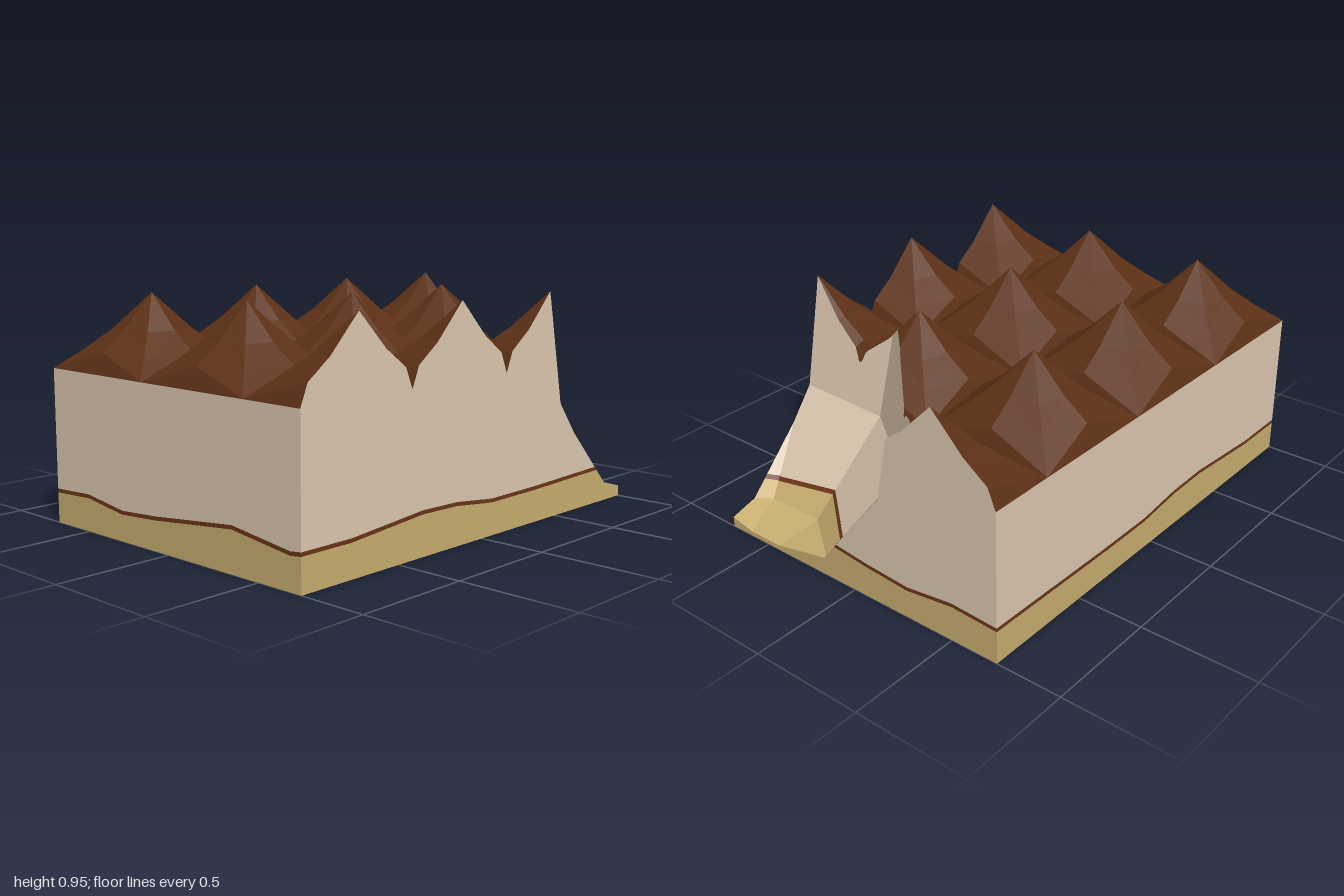
import * as THREE from 'three';

const S = 2 / 7;            // half a topping tile
const HX = 1, HZ = 2.5 * S; // half width and half depth of the slice
const V = (x, y, z) => new THREE.Vector3(x, y, z);

// One eighth of a topping peak: tip, two rings, then the tile border
const tip = V(0, 0.952, 0);
const a1 = V(S / 2, 0.807, 0), d1 = V(0.113, 0.807, 0.113);
const a2 = V(0.25, 0.73, 0), d2 = V(0.19, 0.73, 0.19);
const e = V(S, 0.645, 0), c = V(S, 0.645, S);
const octant = [[tip, a1, d1], [a1, a2, d2], [a1, d2, d1], [a2, e, c], [a2, c, d2]];

// Planes stored as y = p.x * x + p.y + p.z * z
function plane(a, b, q) {
  const n = b.clone().sub(a).cross(q.clone().sub(a));
  return V(-n.x / n.y, n.dot(a) / n.y, -n.z / n.y);
}
const planeY = (p, x, z) => p.x * x + p.y + p.z * z;
const octantPlanes = octant.map((t) => plane(...t));

// Height of the topping at any point
function topY(x, z) {
  const fold = (t) => Math.abs((((t % (2 * S)) + 2 * S) % (2 * S)) - S);
  const fx = fold(x + HX), fz = fold(z + HZ);
  const u = Math.max(fx, fz), v = Math.min(fx, fz);
  const side = (p, q) => (q.x - p.x) * (v - p.z) - (q.z - p.z) * (u - p.x);
  const i = octant.findIndex(([p, q, r]) =>
    Math.min(side(p, q), side(q, r), side(r, p)) > -1e-7);
  return planeY(octantPlanes[Math.max(i, 0)], u, v);
}

// Faceted bowl scooped from the front corner
const A = V(0.53, 0.47, 0.29), B = V(0.8, 0.47, -0.08), C = V(1, 0.47, -0.15);
const aTop = V(0.465, 0.8, 0.265);
const aLow = V(0.83, 0.08, 0.385), bLow = V(0.987, 0.08, 0.17), dLow = V(0.83, 0.08, 0.65);
const edgeLow = V(0.88, 0.08, HZ);
const scoop = [
  [A, aTop, V(0.46, 0.8, HZ)], [A, aTop, B], [B, C, V(1, 0.755, -0.21)],
  [A, aLow, dLow], [A, B, bLow], [B, C, bLow], [dLow, V(0.62, 0.35, HZ), edgeLow],
  [aLow, dLow, V(1, 0.02, 0.5)], [aLow, bLow, V(1, 0.02, 0.44)], [dLow, edgeLow, V(1, 0.02, 0.6)],
].map((t) => plane(...t));
const scoopY = (x, z) => Math.max(...scoop.map((p) => planeY(p, x, z)));

// Wavy boundary between the base and the cream
function along(points, t) {
  let i = 0;
  while (i < points.length - 2 && t > points[i + 1][0]) i++;
  const [[t0, y0], [t1, y1]] = [points[i], points[i + 1]];
  return y0 + (y1 - y0) * (t - t0) / (t1 - t0);
}
const waveX = [[-1, 0.153], [-0.75, 0.152], [-0.36, 0.182], [-0.16, 0.177],
  [0.06, 0.152], [0.35, 0.153], [0.8, 0.163], [1, 0.167]];
const waveZ = [[-0.72, 0.157], [-0.5, 0.167], [-0.28, 0.138], [-0.07, 0.152],
  [0.1, 0.17], [0.36, 0.197], [0.66, 0.16], [0.72, 0.167]];
const layerY = (p) => along(waveX, p.x) + along(waveZ, p.z) - 0.167;
const THICK = 0.016;

// Keep the part of a polygon where f >= 0
function clip(poly, f) {
  const out = [];
  poly.forEach((p, i) => {
    const q = poly[(i + 1) % poly.length], fp = f(p), fq = f(q);
    if (fp >= 0) out.push(p);
    if ((fp < 0) !== (fq < 0)) out.push(p.clone().lerp(q, fp / (fp - fq)));
  });
  return out;
}

// Split a triangle at its longest edge until it is small
function subdivide([p, q, r], size, emit) {
  const l = [p.distanceTo(q), q.distanceTo(r), r.distanceTo(p)];
  const m = Math.max(...l);
  if (m < size) return emit([p, q, r]);
  const k = l.indexOf(m);
  const [a, b, o] = [[p, q, r], [q, r, p], [r, p, q]][k];
  const mid = a.clone().lerp(b, 0.5);
  subdivide([a, mid, o], size, emit);
  subdivide([mid, b, o], size, emit);
}

// Add a polygon as a fan facing the given direction
function addPoly(list, poly, out) {
  for (let i = 1; i < poly.length - 1; i++) {
    const [p, q, r] = [poly[0], poly[i], poly[i + 1]];
    const n = q.clone().sub(p).cross(r.clone().sub(p));
    if (n.lengthSq() < 1e-16) continue;
    list.push(...(n.dot(out) > 0 ? [p, q, r] : [p, r, q]));
  }
}

export function createModel() {
  const group = new THREE.Group();
  const parts = { topping: [], creamLayer: [], thinLayer: [], base: [] };
  const UP = V(0, 1, 0);

  // Share a polygon among the three stacked layers
  const addLayered = (poly, out) => {
    addPoly(parts.base, clip(poly, (p) => layerY(p) - THICK - p.y), out);
    const upper = clip(poly, (p) => p.y - layerY(p) + THICK);
    addPoly(parts.thinLayer, clip(upper, (p) => layerY(p) - p.y), out);
    addPoly(parts.creamLayer, clip(upper, (p) => p.y - layerY(p)), out);
  };

  // Topping: a 4 x 3 grid of peaks trimmed by the slice and the scoop
  for (let i = 0; i < 4; i++) for (let j = 0; j < 3; j++) {
    const cx = -HX + S + i * 2 * S, cz = -HZ + S + j * 2 * S;
    for (let k = 0; k < 8; k++) for (const tri of octant) {
      const sx = k & 1 ? -1 : 1, sz = k & 2 ? -1 : 1;
      let poly = tri.map((p) => (k & 4
        ? V(cx + sx * p.z, p.y, cz + sz * p.x) : V(cx + sx * p.x, p.y, cz + sz * p.z)));
      poly = clip(clip(poly, (p) => HX + 1e-6 - p.x), (p) => HZ + 1e-6 - p.z);
      const nearScoop = poly.some((p) => p.x > 0.3 && p.z > -0.4);
      if (!nearScoop) addPoly(parts.topping, poly, UP);
      else for (let m = 1; m < poly.length - 1; m++) {
        subdivide([poly[0], poly[m], poly[m + 1]], 0.04, (t) =>
          addPoly(parts.topping, clip(t, (p) => scoopY(p.x, p.z) - p.y), UP));
      }
    }
  }

  // Scoop facets, each cut where it meets its neighbours and the topping
  scoop.forEach((pl, i) => {
    let poly = [V(0.3, 0, -0.4), V(0.3, 0, HZ), V(HX, 0, HZ), V(HX, 0, -0.4)];
    scoop.forEach((other, j) => {
      if (j !== i) poly = clip(poly, (p) => planeY(pl, p.x, p.z) - planeY(other, p.x, p.z));
    });
    poly.forEach((p) => { p.y = planeY(pl, p.x, p.z); });
    poly = clip(poly, (p) => 1 - p.y);
    for (let m = 1; m < poly.length - 1; m++) {
      subdivide([poly[0], poly[m], poly[m + 1]], 0.025, (t) =>
        addLayered(clip(t, (p) => topY(p.x, p.z) - p.y), UP));
    }
  });

  // Four side walls as narrow upright strips
  const wall = (at, length, out) => {
    const n = Math.round(length / (S / 40));
    const top = (p) => V(p.x, Math.min(topY(p.x, p.z), scoopY(p.x, p.z)), p.z);
    for (let i = 0; i < n; i++) {
      const p = at(-length / 2 + length * i / n), q = at(-length / 2 + length * (i + 1) / n);
      addLayered([p, q, top(q), top(p)], out);
    }
  };
  for (const s of [-1, 1]) {
    wall((t) => V(t, 0, s * HZ), 2 * HX, V(0, 0, s));
    wall((t) => V(s * HX, 0, t), 2 * HZ, V(s, 0, 0));
  }

  // Underside
  addPoly(parts.base, [V(-HX, 0, -HZ), V(HX, 0, -HZ), V(HX, 0, HZ), V(-HX, 0, HZ)], V(0, -1, 0));

  const colors = { topping: 0x5c3015, creamLayer: 0xdcc8b0, thinLayer: 0x6b3518, base: 0xc8ae70 };
  for (const [name, points] of Object.entries(parts)) {
    const geometry = new THREE.BufferGeometry().setFromPoints(points);
    geometry.computeVertexNormals();
    const mesh = new THREE.Mesh(geometry,
      new THREE.MeshStandardMaterial({ color: colors[name], flatShading: true }));
    mesh.name = name;
    group.add(mesh);
  }
  return group;
}
